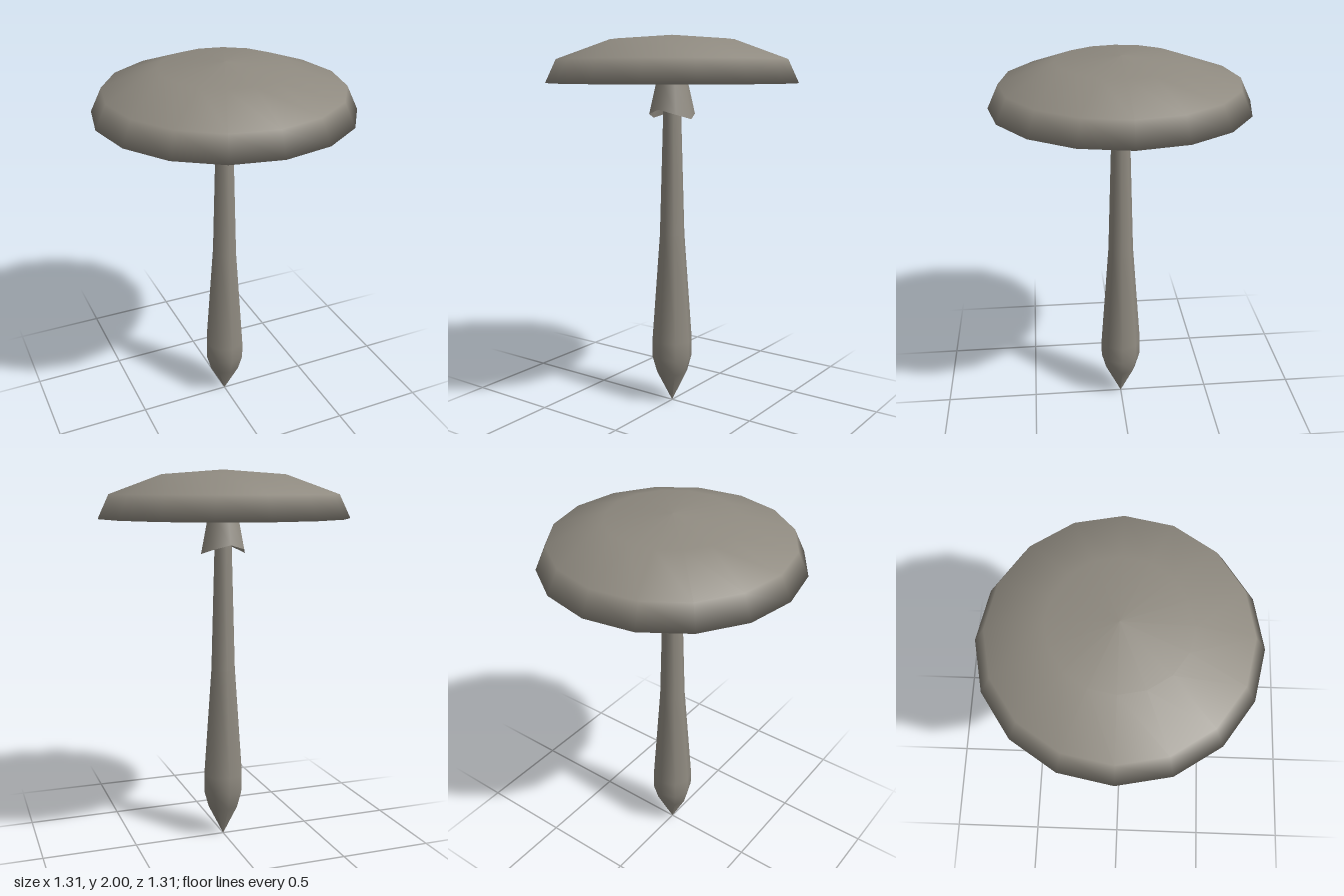
import * as THREE from 'three';

const stone = new THREE.MeshStandardMaterial({ color: 0x8f8a80, side: THREE.DoubleSide });
stone.name = 'warm grey';

// Smooth turned part from [radius, height] pairs, listed bottom to top
function turned(name, profile, sides) {
  const points = profile.map(([r, y]) => new THREE.Vector2(r, y));
  const mesh = new THREE.Mesh(new THREE.LatheGeometry(points, sides), stone);
  mesh.name = name;
  return mesh;
}

export function createModel() {
  const group = new THREE.Group();
  group.name = 'mushroom';

  // Shallow domed cap with a flat underside
  group.add(turned('cap', [
    [0, 1.755], [0.5, 1.755], [0.657, 1.755], [0.6, 1.875], [0.325, 1.975], [0, 2],
  ], 16));

  // Long stem, swollen near the foot and ending in a point
  group.add(turned('stem', [
    [0, 0.005], [0.085, 0.175], [0.11, 0.265], [0.11, 0.36],
    [0.067, 0.95], [0.048, 1.6], [0.045, 1.755],
  ], 8));

  // Flared open skirt whose hem dips at the left and right
  const skirt = turned('skirt', [[0.122, 1.595], [0.085, 1.755]], 8);
  const pos = skirt.geometry.attributes.position;
  for (let i = 0; i < pos.count; i++) {
    if (pos.getY(i) > 1.7) continue;
    const angle = Math.atan2(pos.getZ(i), pos.getX(i));
    pos.setY(i, 1.595 - 0.025 * Math.cos(2 * angle));
  }
  group.add(skirt);

  return group;
}
